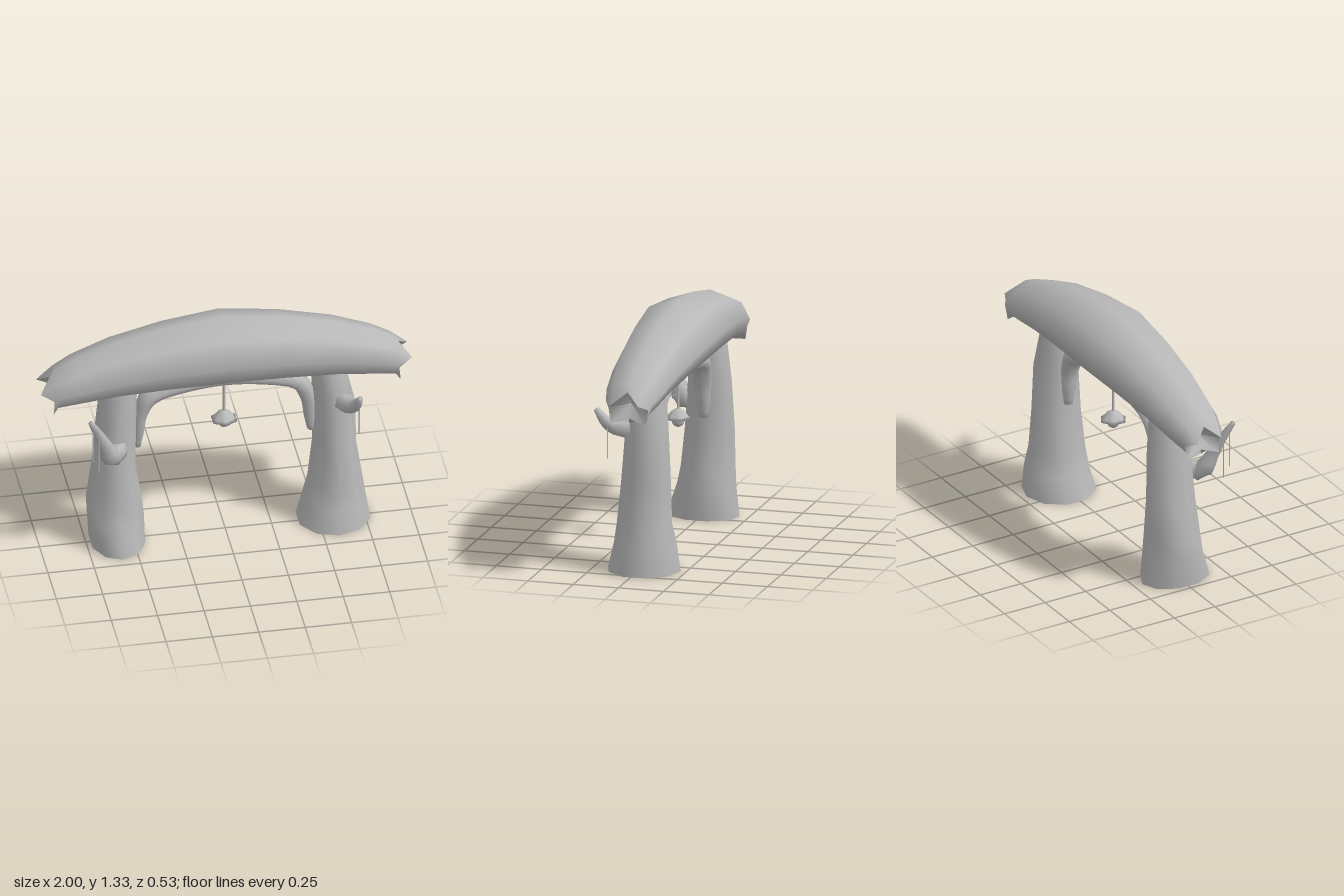
import * as THREE from 'three';

const V = (x, y, z) => new THREE.Vector3(x, y, z);
const TAU = Math.PI * 2;

// Skin a list of closed rings (each running counter-clockwise about the path direction)
function loft(rings) {
  const n = rings[0].length, pos = [], idx = [];
  rings.forEach(r => r.forEach(p => pos.push(p.x, p.y, p.z)));
  for (let i = 0; i < rings.length - 1; i++) {
    for (let j = 0; j < n; j++) {
      const a = i * n + j, b = i * n + (j + 1) % n;
      idx.push(a, b, a + n, b, b + n, a + n);
    }
  }
  const g = new THREE.BufferGeometry();
  g.setAttribute('position', new THREE.Float32BufferAttribute(pos, 3));
  g.setIndex(idx);
  g.computeVertexNormals();
  return g;
}

const ring = (n, f) => Array.from({ length: n }, (_, j) => f(j / n * TAU, j));

// Tapered limb through points, with a radius per point and closed ends
function limb(points, radii, steps, sides, widen = 1) {
  const curve = new THREE.CatmullRomCurve3(points.map(p => V(...p)));
  const rings = [];
  for (let i = 0; i <= steps; i++) {
    const t = i / steps, p = curve.getPoint(t), T = curve.getTangent(t);
    const N = V(0, 0, 1).addScaledVector(T, -T.z).normalize();
    const B = T.clone().cross(N);
    const k = t * (radii.length - 1), m = Math.min(Math.floor(k), radii.length - 2);
    const r = THREE.MathUtils.lerp(radii[m], radii[m + 1], k - m);
    const at = s => ring(sides, a => p.clone()
      .addScaledVector(N, Math.cos(a) * r * s * widen)
      .addScaledVector(B, Math.sin(a) * r * s));
    if (i === 0) rings.push(at(0.01));
    rings.push(at(1));
    if (i === steps) rings.push(at(0.01));
  }
  return loft(rings);
}

export function createModel() {
  const model = new THREE.Group();
  const wood = new THREE.MeshStandardMaterial({ color: 0xb8b8b8, side: THREE.DoubleSide });
  wood.name = 'plainGrey';
  const add = (name, geometry) => {
    const mesh = new THREE.Mesh(geometry, wood);
    mesh.name = name;
    model.add(mesh);
    return mesh;
  };

  // Arched log: x, top, bottom, half width in z
  const half = [
    [0, 1.33, 0.96, 0.23], [0.31, 1.295, 0.95, 0.208], [0.6, 1.23, 0.933, 0.182],
    [0.81, 1.152, 0.905, 0.156], [0.91, 1.1, 0.885, 0.128],
  ];
  const zc = -0.033;
  const logRing = ([x, top, bottom, w], s) => ring(8, a =>
    V(s * x, (top + bottom) / 2 + Math.cos(a) * (top - bottom) / 2, zc + Math.sin(a) * w));
  // Splintered end: x, y, z offset for half of the eight points
  const splinter = [[0.94, 1.06, 0], [1, 1, 0.075], [0.925, 0.965, 0.11], [0.935, 0.88, 0.095], [0.91, 0.91, 0]];
  const endRing = s => ring(8, (a, j) => {
    const [x, y, z] = splinter[j < 5 ? j : 8 - j];
    return V(s * x, y, zc + (j < 5 ? z : -z));
  });
  add('log', loft([
    endRing(-1), ...half.slice(1).reverse().map(h => logRing(h, -1)),
    ...half.map(h => logRing(h, 1)), endRing(1),
  ]));
  // Hollow broken faces at both ends of the log
  for (const s of [-1, 1]) {
    const centre = ring(8, () => V(s * 0.87, 0.985, zc));
    add(s > 0 ? 'leftLogEnd' : 'rightLogEnd', loft(s > 0 ? [endRing(s), centre] : [centre, endRing(s)]));
  }

  // Hollow trunks, open at the ground: y, x min, x max, z back, z front
  const trunk = rows => loft(rows.map(([y, x0, x1, z0, z1]) => ring(10, a =>
    V((x0 + x1) / 2 + Math.sin(a) * (x1 - x0) / 2, y, (z0 + z1) / 2 + Math.cos(a) * (z1 - z0) / 2))));
  add('leftTrunk', trunk([
    [0, 0.385, 0.785, -0.22, 0.18], [0.14, 0.425, 0.762, -0.205, 0.145], [0.25, 0.45, 0.745, -0.178, 0.128],
    [0.48, 0.477, 0.71, -0.17, 0.105], [0.74, 0.475, 0.705, -0.158, 0.085],
    [0.93, 0.47, 0.66, -0.14, 0.07], [1.02, 0.48, 0.64, -0.13, 0.06],
  ]));
  add('rightTrunk', trunk([
    [0, -0.732, -0.435, -0.2, 0.2], [0.17, -0.742, -0.436, -0.18, 0.145], [0.26, -0.745, -0.445, -0.175, 0.128],
    [0.48, -0.71, -0.48, -0.17, 0.105], [0.74, -0.69, -0.474, -0.158, 0.085],
    [0.93, -0.67, -0.47, -0.14, 0.07], [1.02, -0.65, -0.48, -0.13, 0.06],
  ]));

  // Curved root bracing the underside of the log
  const side = [[0.467, 0.565], [0.46, 0.66], [0.45, 0.77], [0.395, 0.88], [0.22, 0.93]];
  const brace = [...side.map(([x, y]) => [-x, y, zc]), [0, 0.95, zc],
    ...side.slice().reverse().map(([x, y]) => [x, y, zc])];
  add('archBrace', limb(brace,
    [0.02, 0.032, 0.04, 0.05, 0.046, 0.044, 0.046, 0.05, 0.04, 0.032, 0.02], 30, 8, 1.3));

  // Broken branches
  add('rightBranch', limb(
    [[-0.57, 0.63, 0.07], [-0.635, 0.62, 0.13], [-0.675, 0.72, 0.175], [-0.715, 0.81, 0.2], [-0.768, 0.93, 0.25]],
    [0.045, 0.058, 0.037, 0.028, 0.014], 10, 7));
  add('leftBranch', limb(
    [[0.62, 0.775, 0.05], [0.645, 0.785, 0.11], [0.672, 0.815, 0.165], [0.69, 0.885, 0.215]],
    [0.055, 0.05, 0.034, 0.016], 8, 7));

  // Thin strings: x, z, top, bottom
  const strings = [[-0.755, 0.235, 0.9, 0.67], [-0.72, 0.22, 0.8, 0.59], [0.695, 0.152, 0.8, 0.62]];
  for (const [x, z, top, bottom] of strings) {
    add('string', new THREE.CylinderGeometry(0.003, 0.003, top - bottom, 6))
      .position.set(x, (top + bottom) / 2, z);
  }

  // Hanging lantern: rod, scalloped shade and bulb
  add('lanternRod', new THREE.CylinderGeometry(0.007, 0.007, 0.28, 8)).position.set(0, 0.85, zc);
  const shadeRows = [
    [0.672, 0.03, 0], [0.678, 0.074, 0.16], [0.692, 0.056, 0.1],
    [0.715, 0.037, 0], [0.732, 0.012, 0], [0.733, 0.001, 0],
  ];
  const shadeRing = ([y, r, wave]) => ring(24, a => {
    const k = r * (1 + wave * (Math.cos(a * 6) - 1) / 2);
    return V(Math.sin(a) * k, y, zc + Math.cos(a) * k);
  });
  add('lanternShade', loft(shadeRows.map(shadeRing)));
  add('lanternBulb', new THREE.SphereGeometry(0.035, 12, 8)).position.set(0, 0.666, zc);

  return model;
}
